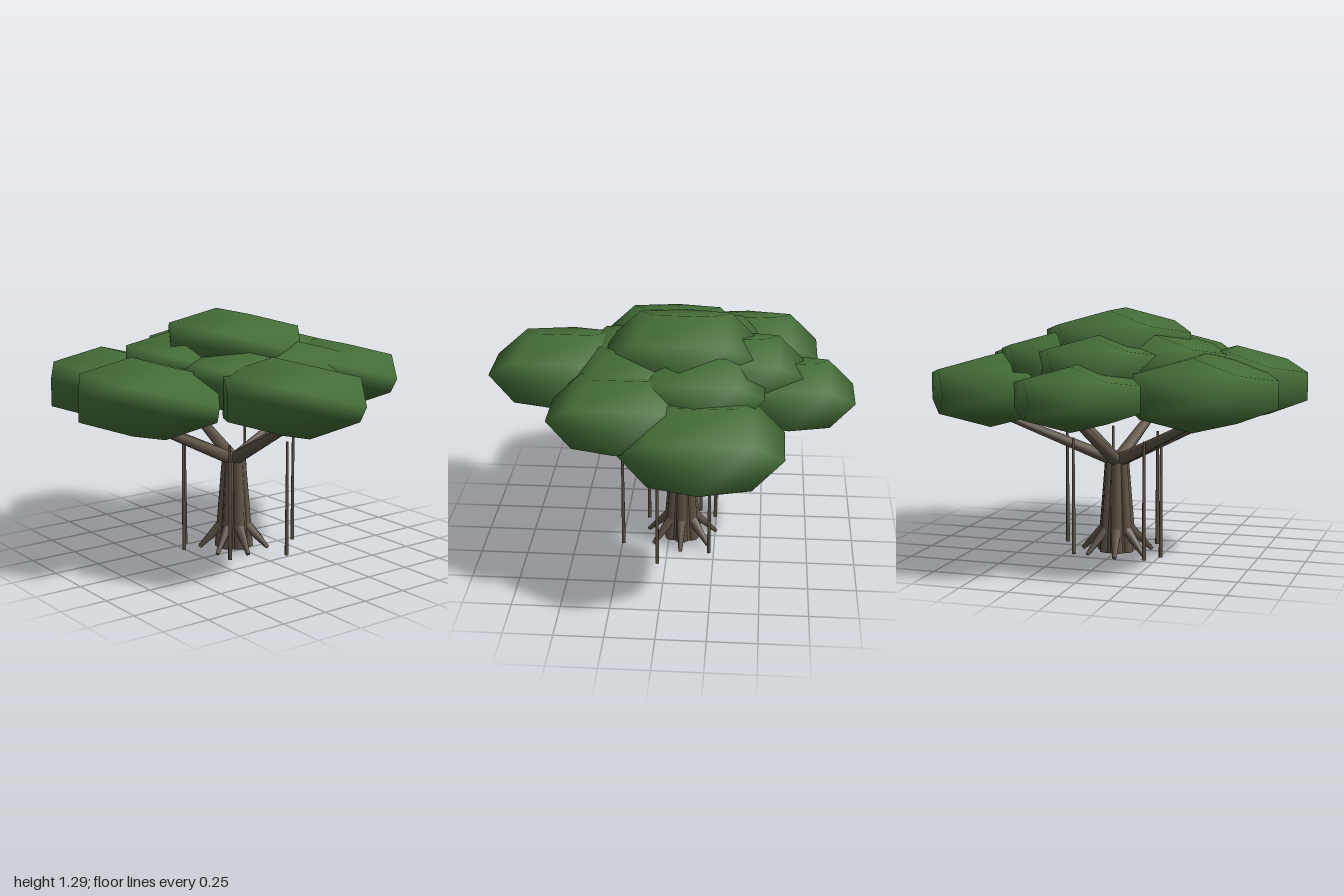
import * as THREE from 'three';
import { mergeVertices } from 'three/addons/utils/BufferGeometryUtils.js';

const CX = -0.07; // trunk axis

export function createModel() {
  const tree = new THREE.Group();
  tree.name = 'spreadingTree';
  const bark = new THREE.MeshStandardMaterial({ name: 'bark', color: 0x5e5446 });
  const leaf = new THREE.MeshStandardMaterial({ name: 'leaf', color: 0x456e38 });

  // Tapered round limb between two points
  const limb = (name, a, b, ra, rb, sides = 8) => {
    const from = new THREE.Vector3(...a), to = new THREE.Vector3(...b);
    const dir = to.clone().sub(from);
    const mesh = new THREE.Mesh(new THREE.CylinderGeometry(rb, ra, dir.length(), sides), bark);
    mesh.position.copy(from).add(to).multiplyScalar(0.5);
    mesh.quaternion.setFromUnitVectors(new THREE.Vector3(0, 1, 0), dir.normalize());
    mesh.name = name;
    tree.add(mesh);
  };
  const ring = (angle, r, y) => [CX + r * Math.cos(angle), y, r * Math.sin(angle)];

  // Smooth, flattened twelve-sided leaf mass; h is its horizontal half width
  const base = new THREE.DodecahedronGeometry(1 / 0.9342);
  base.deleteAttribute('normal');
  base.deleteAttribute('uv');
  const clump = mergeVertices(base, 1e-3);
  const foliage = (name, [x, y, z, h]) => {
    const geo = clump.clone().scale(h, h * 0.467, h);
    geo.computeVertexNormals();
    const mesh = new THREE.Mesh(geo, leaf);
    mesh.position.set(x, y, z);
    mesh.name = name;
    tree.add(mesh);
  };

  // Trunk with fused strands around it
  limb('trunk', [CX, 0.01, 0], [CX, 0.5, 0], 0.09, 0.055, 10);
  for (let i = 0; i < 7; i++) {
    const a = (i / 7) * Math.PI * 2 + 0.2;
    limb('trunkStrand', ring(a, 0.072, 0.01), ring(a, 0.04, 0.49), 0.034, 0.026);
  }

  // Flaring surface roots
  for (let i = 0; i < 7; i++) {
    const a = (i / 7) * Math.PI * 2 + 0.22;
    limb('surfaceRoot', ring(a, 0.06, 0.14), ring(a, 0.19, 0.01), 0.03, 0.011, 6);
  }

  // Outer canopy, each mass carried by one branch
  const outer = [
    [-0.62, 0.897, -0.02, 0.34],
    [-0.2, 0.873, -0.6, 0.4],
    [0.21, 0.96, -0.45, 0.354],
    [0.565, 0.947, 0.118, 0.386],
    [0.013, 0.912, 0.59, 0.4],
    [-0.394, 0.912, 0.527, 0.388],
  ];
  for (const c of outer) {
    foliage('outerFoliage', c);
    limb('branch', [CX, 0.49, 0], [c[0], c[1] - 0.14, c[2]], 0.036, 0.019);
  }

  // Inner canopy ring and crown
  const innerHeights = [0.98, 1.02, 1.02, 1.02, 1.0];
  innerHeights.forEach((y, i) => {
    const [x, , z] = ring(((36 + i * 72) * Math.PI) / 180, 0.287, 0);
    foliage('innerFoliage', [x, y, z, 0.338]);
  });
  foliage('crownFoliage', [CX, 1.11, 0.005, 0.392]);

  // Hanging aerial roots (x, z)
  const aerial = [
    [0.242, -0.119], [0.125, 0.168], [-0.16, 0.267],
    [-0.245, 0.2], [-0.225, -0.19], [0.043, -0.317],
  ];
  for (const [x, z] of aerial) limb('aerialRoot', [x, 0.01, z], [x, 0.63, z], 0.011, 0.007, 6);

  return tree;
}
